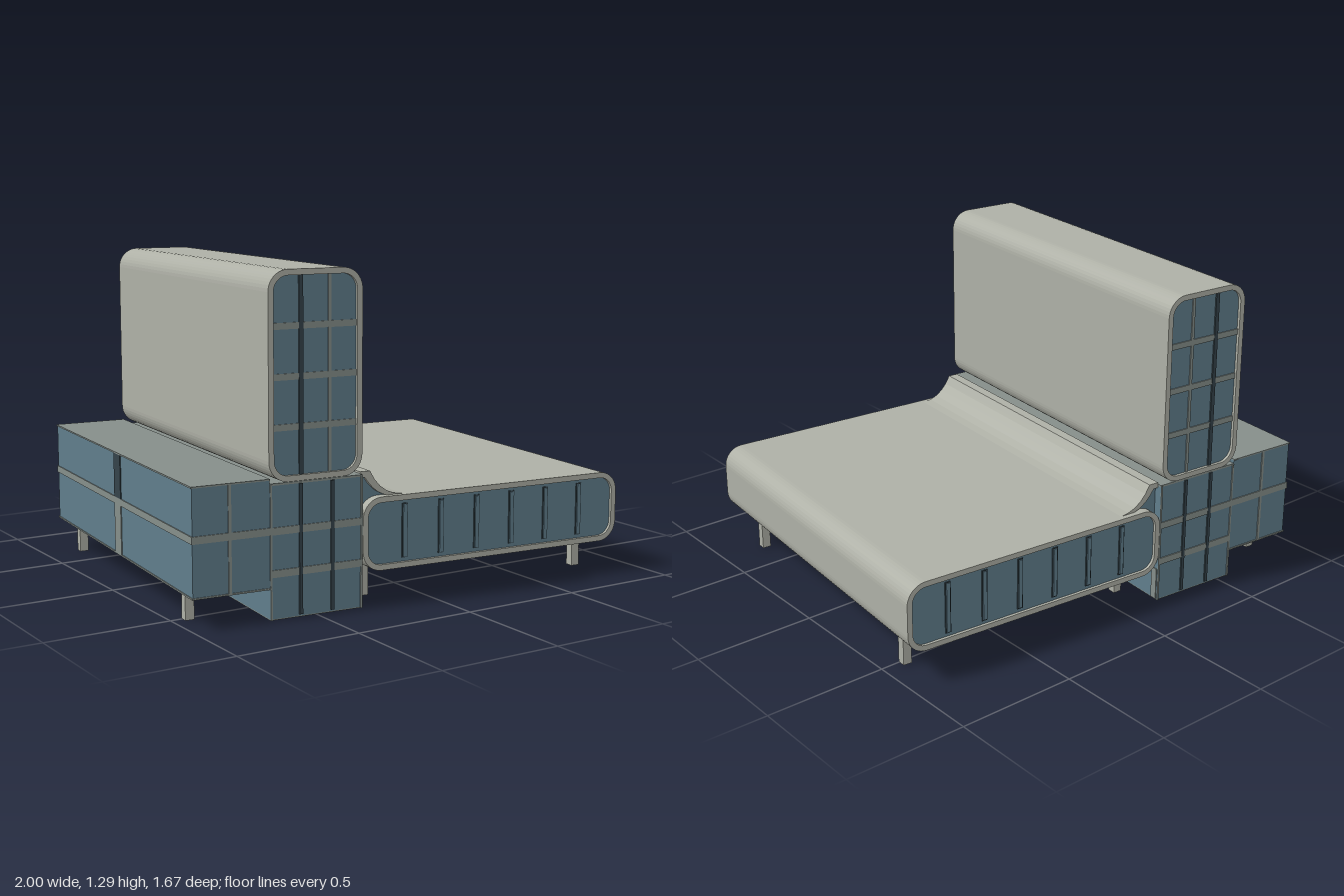
import * as THREE from 'three';

const material = (name, color) => {
  const m = new THREE.MeshStandardMaterial({ color });
  m.name = name;
  return m;
};

export function createModel() {
  const shell = material('paleConcrete', 0xaeb0a6);
  const glass = material('blueGlass', 0x607d8b);
  const trim = material('greyTrim', 0x858e8a);
  const dark = material('darkJoint', 0x35434a);

  const D = 0.758; // half depth shared by all volumes
  const model = new THREE.Group();
  model.name = 'building';
  const body = new THREE.Group();
  body.name = 'buildingBody';
  body.rotation.y = -0.086;
  model.add(body);

  const add = (name, geometry, mat) => {
    const mesh = new THREE.Mesh(geometry, mat);
    mesh.name = name;
    body.add(mesh);
    return mesh;
  };
  // Box given by its limits on each axis
  const box = (name, mat, x0, x1, y0, y1, z0, z1) => {
    const mesh = add(name, new THREE.BoxGeometry(x1 - x0, y1 - y0, z1 - z0), mat);
    mesh.position.set((x0 + x1) / 2, (y0 + y1) / 2, (z0 + z1) / 2);
    return mesh;
  };
  // Thin plate on both the front and the back wall
  const endPlates = (name, mat, x0, x1, y0, y1, z, t = 0.004) => {
    box(name, mat, x0, x1, y0, y1, z, z + t);
    box(name, mat, x0, x1, y0, y1, -z - t, -z);
  };
  const roundRect = (path, x0, x1, y0, y1, r) => {
    path.moveTo(x1, y0 + r);
    path.absarc(x1 - r, y1 - r, r, 0, Math.PI / 2);
    path.absarc(x0 + r, y1 - r, r, Math.PI / 2, Math.PI);
    path.absarc(x0 + r, y0 + r, r, Math.PI, Math.PI * 1.5);
    path.absarc(x1 - r, y0 + r, r, Math.PI * 1.5, Math.PI * 2);
    return path;
  };
  const extrude = (shape, half) => {
    const g = new THREE.ExtrudeGeometry(shape, { depth: half * 2, bevelEnabled: false, curveSegments: 5 });
    return g.translate(0, 0, -half);
  };
  // Rounded tube with a recessed glass wall at each end
  const roundedVolume = (name, x0, x1, y0, y1, r, t) => {
    const outer = roundRect(new THREE.Shape(), x0, x1, y0, y1, r);
    outer.holes.push(roundRect(new THREE.Path(), x0 + t, x1 - t, y0 + t, y1 - t, r - t));
    add(name + 'Shell', extrude(outer, D), shell);
    const core = roundRect(new THREE.Shape(), x0 + t, x1 - t, y0 + t, y1 - t, r - t);
    add(name + 'Glazing', extrude(core, D - 0.012), glass);
  };

  // Upright volume with floor bands and joints
  roundedVolume('tower', -0.632, -0.246, 0.515, 1.29, 0.08, 0.022);
  for (const y of [0.715, 0.9, 1.085]) {
    endPlates('towerFloorBand', trim, -0.61, -0.268, y - 0.012, y + 0.012, D - 0.012);
  }
  endPlates('towerJoint', dark, -0.505, -0.488, 0.537, 1.268, D - 0.012, 0.006);
  endPlates('towerMullion', trim, -0.384, -0.371, 0.537, 1.268, D - 0.012);

  // Low wide volume with slim dividers between its panes
  roundedVolume('wing', -0.241, 0.938, 0.135, 0.42, 0.08, 0.022);
  for (let i = 0; i < 6; i++) {
    const x = -0.055 + i * 0.1625;
    endPlates('wingDividerEdge', dark, x - 0.012, x + 0.012, 0.172, 0.385, D - 0.012, 0.004);
    endPlates('wingDivider', glass, x - 0.008, x + 0.008, 0.176, 0.381, D - 0.012, 0.008);
  }

  // Base block under the tower
  const [bx0, bx1] = [-0.627, -0.243];
  box('baseBlock', glass, bx0, bx1, 0.004, 0.505, -D + 0.004, D - 0.004);
  box('baseTop', trim, bx0, bx1, 0.505, 0.513, -D + 0.004, D - 0.004);
  box('baseBottom', trim, bx0, bx1, 0, 0.004, -D + 0.004, D - 0.004);
  for (const y of [0.175, 0.335]) {
    endPlates('baseFloorBand', trim, bx0, bx1, y - 0.014, y + 0.014, D - 0.004);
  }
  for (const x of [bx0 + 0.004, bx1 - 0.004]) {
    endPlates('baseCornerTrim', trim, x - 0.004, x + 0.004, 0, 0.51, D - 0.004);
  }
  for (const x of [-0.502, -0.371]) {
    endPlates('baseJoint', dark, x - 0.007, x + 0.007, 0.01, 0.505, D - 0.004, 0.006);
  }
  for (const z of [-0.735, -0.25, 0.25, 0.735]) {
    const w = Math.abs(z) > 0.5 ? 0.015 : 0.03;
    box('basePilaster', trim, bx1, bx1 + 0.004, 0.004, 0.14, z - w, z + w);
  }

  // Side block raised on legs
  const [sx0, sx1] = [-0.938, -0.627];
  box('sideBlock', glass, sx0 + 0.004, sx1, 0.124, 0.526, -D + 0.004, D - 0.004);
  box('sideRoof', trim, sx0, sx1, 0.526, 0.532, -D, D);
  box('sideFloor', trim, sx0, sx1, 0.118, 0.124, -D, D);
  endPlates('sideFloorBand', trim, sx0, sx1, 0.322, 0.35, D - 0.004);
  endPlates('sideMullion', trim, -0.794, -0.782, 0.124, 0.526, D - 0.004);
  box('sideLongBand', trim, sx0, sx0 + 0.004, 0.322, 0.35, -D, D);
  box('sideLowerPanel', trim, sx0, sx0 + 0.004, 0.124, 0.322, -0.035, 0.035);
  box('sideUpperPanel', dark, sx0, sx0 + 0.004, 0.35, 0.526, -0.035, 0.035);

  // Curved roof sweeping from the base down to the wing
  const sweep = new THREE.Shape();
  sweep.moveTo(-0.243, 0.52);
  sweep.lineTo(-0.2, 0.52);
  sweep.quadraticCurveTo(-0.155, 0.425, -0.06, 0.42);
  sweep.lineTo(-0.12, 0.418);
  sweep.quadraticCurveTo(-0.18, 0.43, -0.222, 0.497);
  sweep.lineTo(-0.243, 0.497);
  add('sweepRoof', extrude(sweep, 0.735), shell);
  const infill = new THREE.Shape();
  infill.moveTo(-0.243, 0.497);
  infill.lineTo(-0.222, 0.497);
  infill.quadraticCurveTo(-0.18, 0.43, -0.12, 0.418);
  infill.lineTo(-0.16, 0.41);
  infill.lineTo(-0.243, 0.34);
  add('sweepGlazing', extrude(infill, 0.72), glass);

  // Square legs
  for (const z of [-0.59, 0.59]) {
    for (const x of [-0.886, -0.155, 0.853]) {
      box('leg', shell, x - 0.018, x + 0.018, 0, 0.14, z - 0.018, z + 0.018);
    }
  }
  return model;
}
